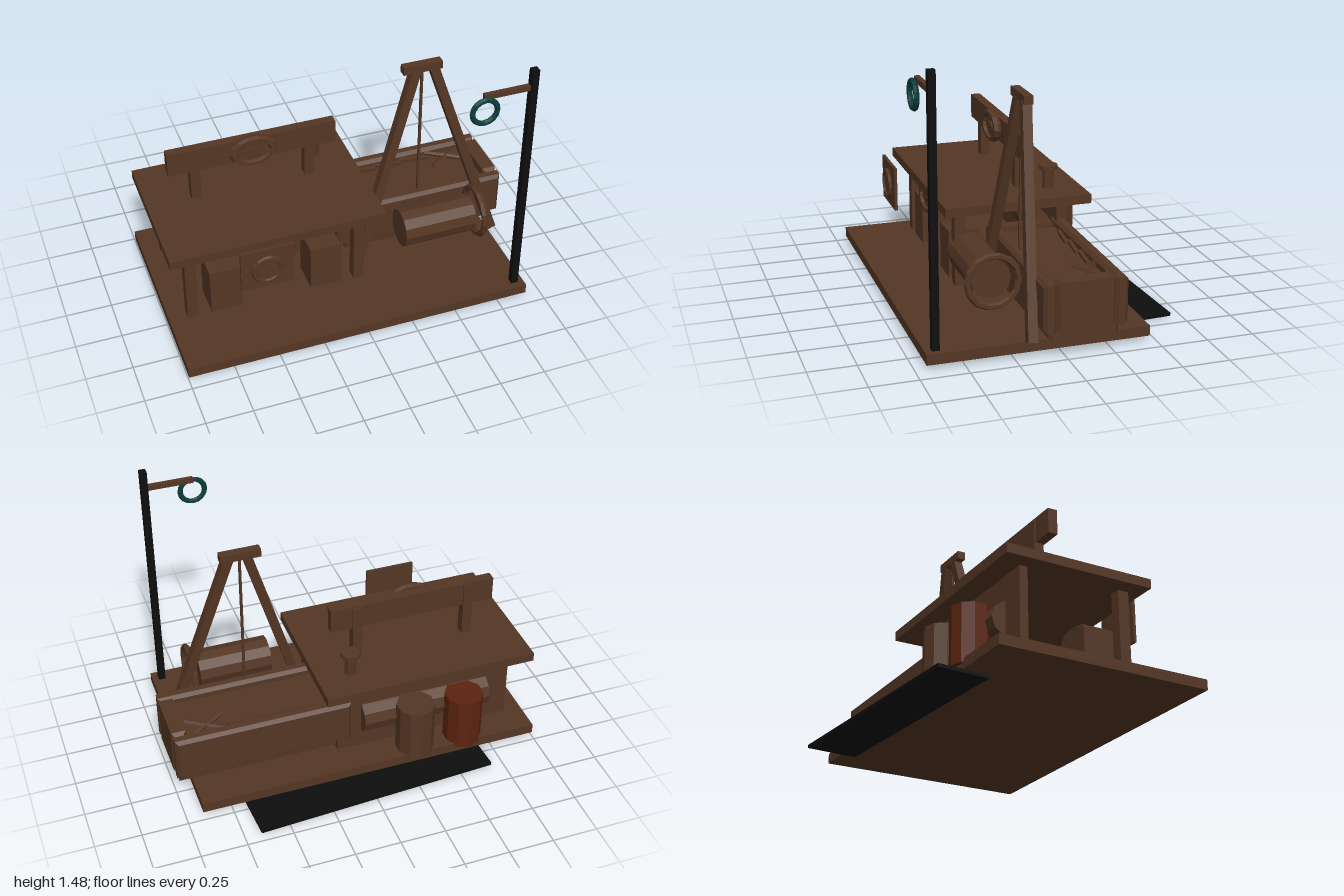
import * as THREE from 'three';

const material = (name, color) => {
  const m = new THREE.MeshStandardMaterial({ color });
  m.name = name;
  return m;
};

export function createModel() {
  const group = new THREE.Group();
  const wood = material('brown wood', 0x543624);
  const rust = material('rust red', 0x5c2410);
  const teal = material('dark teal', 0x0c3d38);
  const black = material('black', 0x0e0e0e);

  const add = (name, geometry, mat = wood, x = 0, y = 0, z = 0) => {
    const mesh = new THREE.Mesh(geometry, mat);
    mesh.name = name;
    mesh.position.set(x, y, z);
    group.add(mesh);
    return mesh;
  };
  // box given by its limits on each axis
  const box = (name, [x0, x1], [y0, y1], [z0, z1], mat = wood) =>
    add(name, new THREE.BoxGeometry(x1 - x0, y1 - y0, z1 - z0), mat, (x0 + x1) / 2, (y0 + y1) / 2, (z0 + z1) / 2);
  // box with all edges cut at 45 degrees
  const chamferBox = (name, [x0, x1], [y0, y1], [z0, z1], b = 0.018) => {
    const w = (x1 - x0) / 2, h = (y1 - y0) / 2, d = z1 - z0;
    const s = new THREE.Shape();
    s.moveTo(-w + b, -h + b);
    s.lineTo(w - b, -h + b);
    s.lineTo(w - b, h - b);
    s.lineTo(-w + b, h - b);
    s.closePath();
    const g = new THREE.ExtrudeGeometry(s, { depth: d - 2 * b, bevelEnabled: true, bevelThickness: b, bevelSize: b, bevelSegments: 1 });
    return add(name, g, wood, (x0 + x1) / 2, (y0 + y1) / 2, z0 + b);
  };
  // square bar between two points
  const bar = (name, a, b, w, d = w) => {
    const p = new THREE.Vector3(...a), q = new THREE.Vector3(...b);
    const mesh = add(name, new THREE.BoxGeometry(w, p.distanceTo(q), d));
    mesh.position.copy(p).add(q).multiplyScalar(0.5);
    mesh.quaternion.setFromUnitVectors(new THREE.Vector3(0, 1, 0), q.sub(p).normalize());
    return mesh;
  };
  const faceted = (g) => {
    const flat = g.toNonIndexed();
    flat.computeVertexNormals();
    return flat;
  };
  const cylinder = (r, h, sides) => faceted(new THREE.CylinderGeometry(r, r, h, sides));
  const ring = (r, tube, sides, segments) => faceted(new THREE.TorusGeometry(r, tube, sides, segments));

  // platform and slanted strip beneath its back edge
  box('platform', [-1, 0.91], [0.025, 0.08], [-0.47, 0.693]);
  add('groundStrip', new THREE.BoxGeometry(1.345, 0.018, 0.28), black, -0.005, 0.009, -0.516).rotation.y = 0.06;

  // stall: counter, legs, back wall and supports
  box('counterTop', [-0.99, 0.195], [0.505, 0.555], [-0.42, 0.395]);
  box('backWall', [-0.9, 0.1], [0.08, 0.505], [-0.3, -0.255]);
  for (const x of [-0.87, 0.07]) box('counterLeg', [x - 0.03, x + 0.03], [0.08, 0.505], [0.26, 0.32]);
  for (const x of [-0.682, -0.12]) box('crate', [x - 0.086, x + 0.086], [0.08, 0.345], [0.14, 0.318]);
  add('log', cylinder(0.095, 0.73, 10), wood, -0.4, 0.28, -0.28).rotation.z = Math.PI / 2;

  // sign board above the counter
  box('signBoard', [-0.865, 0.07], [0.745, 0.88], [-0.112, -0.06]);
  for (const x of [-0.717, -0.078]) box('signPost', [x - 0.027, x + 0.027], [0.555, 0.872], [-0.12, -0.066]);

  // oval ornaments
  for (const [y, z] of [[0.815, -0.042], [0.428, 0.335]]) {
    add('ovalRing', ring(0.11, 0.025, 6, 14), wood, -0.4, y, z).scale.y = 0.68;
    const plate = add('ovalPlate', cylinder(0.105, 0.025, 14), wood, -0.4, y, z - 0.008);
    plate.rotation.x = Math.PI / 2;
    plate.scale.z = 0.68;
    const boss = add('ovalBoss', cylinder(0.055, 0.03, 10), wood, -0.4, y, z + 0.002);
    boss.rotation.x = Math.PI / 2;
    boss.scale.z = 0.45;
  }

  // hanging square panel with round dial
  box('dialPanel', [-0.655, -0.37], [0.375, 0.62], [0.517, 0.533]);
  add('dialRing', ring(0.075, 0.014, 6, 14), wood, -0.513, 0.492, 0.538);
  add('dialFace', cylinder(0.066, 0.012, 14), wood, -0.513, 0.492, 0.535).rotation.x = Math.PI / 2;

  // capped pipe on the counter
  add('pipe', cylinder(0.034, 0.215, 8), wood, 0.005, 0.5575, -0.238);
  add('pipeCap', cylinder(0.053, 0.022, 10), wood, 0.005, 0.675, -0.238);

  // barrels behind the stall
  add('redBarrel', cylinder(0.106, 0.31, 10), rust, -0.597, 0.215, -0.395);
  add('brownBarrel', cylinder(0.106, 0.31, 10), wood, -0.315, 0.215, -0.395);

  // trough with keel, chamfered walls and loose sticks
  chamferBox('troughKeel', [0.08, 0.98], [0.085, 0.16], [-0.275, 0.09]);
  box('troughFill', [0.05, 0.95], [0.15, 0.355], [-0.27, 0.075]);
  chamferBox('troughSide', [0.02, 0.998], [0.145, 0.4], [-0.316, -0.245]);
  chamferBox('troughSide', [0.02, 0.998], [0.145, 0.4], [0.055, 0.126]);
  chamferBox('troughEnd', [0.92, 1], [0.145, 0.405], [-0.25, 0.06]);
  chamferBox('troughEnd', [0.03, 0.1], [0.15, 0.385], [-0.25, 0.06]);
  for (const s of [-1, 1]) bar('crossedStick', [0.69, 0.37, -0.185 - s * 0.065], [0.9, 0.37, -0.185 + s * 0.065], 0.018);
  for (let i = 0; i < 3; i++) {
    const x = 0.2 + i * 0.16;
    bar('looseStick', [x, 0.365, -0.235], [x + 0.17, 0.365, -0.215], 0.02);
  }

  // hoist frame with rope
  box('hoistBeam', [0.39, 0.61], [1.2, 1.245], [0.056, 0.103]);
  bar('hoistLeg', [0.13, 0.085, 0.168], [0.465, 1.21, 0.08], 0.05);
  bar('hoistLeg', [0.935, 0.085, 0.168], [0.565, 1.21, 0.08], 0.05);
  bar('rope', [0.503, 0.41, 0.09], [0.503, 1.2, 0.078], 0.013);

  // horizontal drum and wheel
  add('drum', cylinder(0.106, 0.41, 12), wood, 0.514, 0.355, 0.31).rotation.z = Math.PI / 2;
  add('wheel', ring(0.134, 0.018, 6, 14), wood, 0.757, 0.355, 0.31).rotation.y = Math.PI / 2;

  // lamp pole, arm and hanging ring
  box('pole', [0.838, 0.876], [0.08, 1.475], [0.618, 0.656], black);
  box('poleArm', [0.59, 0.842], [1.357, 1.385], [0.623, 0.649]);
  add('hangingRing', ring(0.068, 0.015, 6, 16), teal, 0.592, 1.293, 0.656);

  return group;
}
